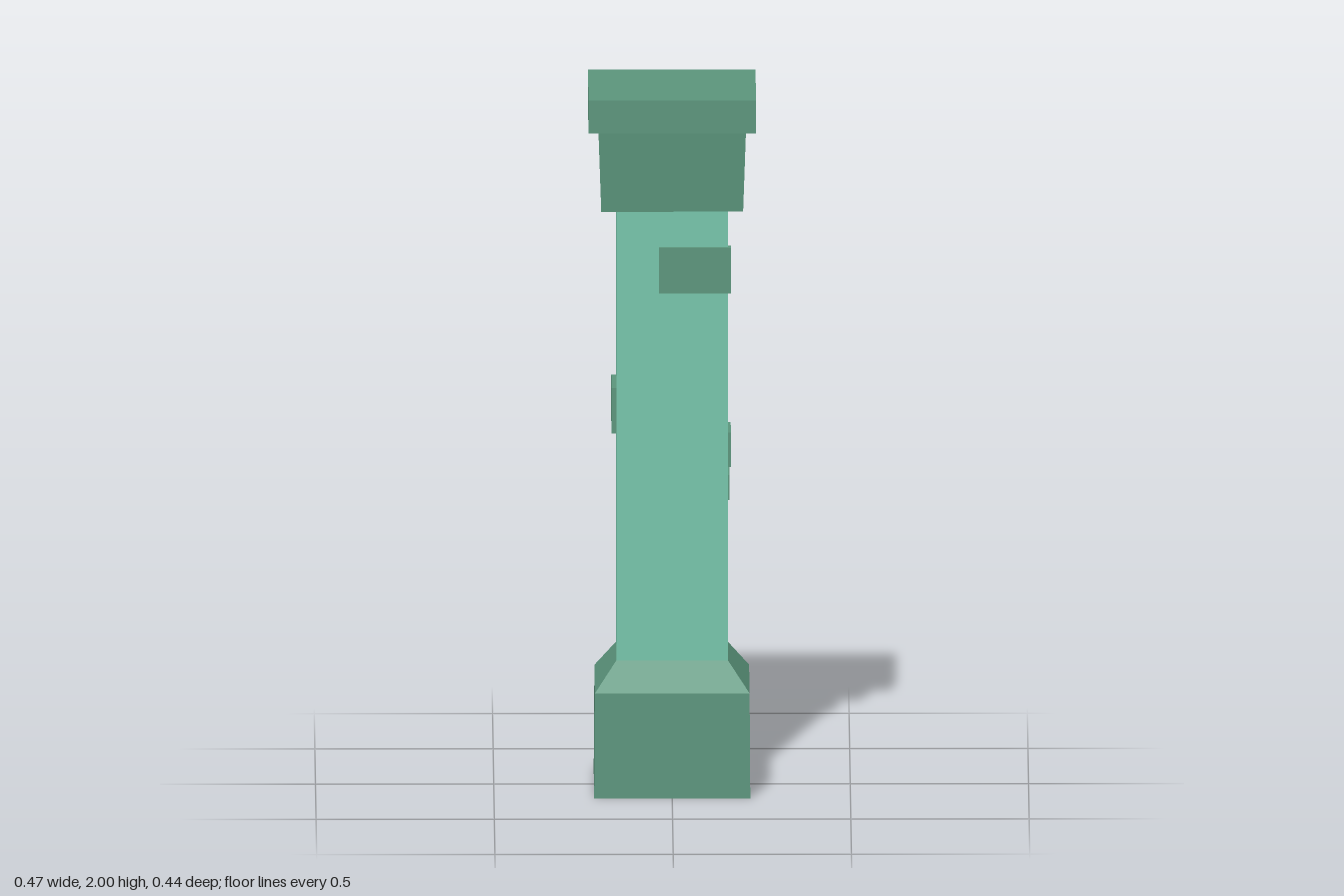
import * as THREE from 'three';

const paleStone = new THREE.MeshStandardMaterial({ color: 0x76c4aa });
paleStone.name = 'paleStone';
const darkStone = new THREE.MeshStandardMaterial({ color: 0x5c967d });
darkStone.name = 'darkStone';

// Rectangular block from y0 to y1, with half sizes [x, z] at the bottom and top
function taperedBlock(name, material, y0, y1, bottom, top) {
  const geometry = new THREE.BoxGeometry(2, 1, 2);
  const p = geometry.attributes.position;
  for (let i = 0; i < p.count; i++) {
    const upper = p.getY(i) > 0;
    const [hx, hz] = upper ? top : bottom;
    p.setXYZ(i, p.getX(i) * hx, upper ? y1 : y0, p.getZ(i) * hz);
  }
  geometry.computeVertexNormals();
  const mesh = new THREE.Mesh(geometry, material);
  mesh.name = name;
  return mesh;
}

// Box given by its extents along each axis
function brick(name, [x0, x1], [y0, y1], [z0, z1]) {
  const mesh = new THREE.Mesh(new THREE.BoxGeometry(x1 - x0, y1 - y0, z1 - z0), darkStone);
  mesh.position.set((x0 + x1) / 2, (y0 + y1) / 2, (z0 + z1) / 2);
  mesh.name = name;
  return mesh;
}

export function createModel() {
  const pillar = new THREE.Group();
  pillar.name = 'stonePillar';

  // Plinth, shaft and capital
  pillar.add(
    taperedBlock('base', darkStone, 0, 0.3, [0.219, 0.207], [0.217, 0.204]),
    taperedBlock('baseBevel', darkStone, 0.3, 0.38, [0.217, 0.204], [0.157, 0.135]),
    taperedBlock('shaft', paleStone, 0.38, 1.67, [0.156, 0.134], [0.156, 0.114]),
    taperedBlock('capital', darkStone, 1.67, 1.905, [0.199, 0.163], [0.207, 0.179]),
    taperedBlock('topSlab', darkStone, 1.905, 2, [0.235, 0.219], [0.235, 0.219]),
  );

  // Bricks standing slightly proud of the shaft
  pillar.add(
    brick('frontBrick', [-0.037, 0.165], [1.43, 1.56], [0.098, 0.134]),
    brick('leftUpperBrick', [0.13, 0.165], [0.915, 1.013], [-0.11, 0.04]),
    brick('leftLowerBrick', [0.13, 0.161], [0.835, 0.907], [0, 0.113]),
    brick('rightBrick', [-0.17, -0.13], [1.015, 1.145], [-0.129, 0.06]),
    brick('backUpperBrick', [-0.023, 0.114], [1.45, 1.54], [-0.122, -0.09]),
    brick('backLowerBrick', [-0.135, 0.055], [0.69, 0.817], [-0.145, -0.11]),
  );
  return pillar;
}
